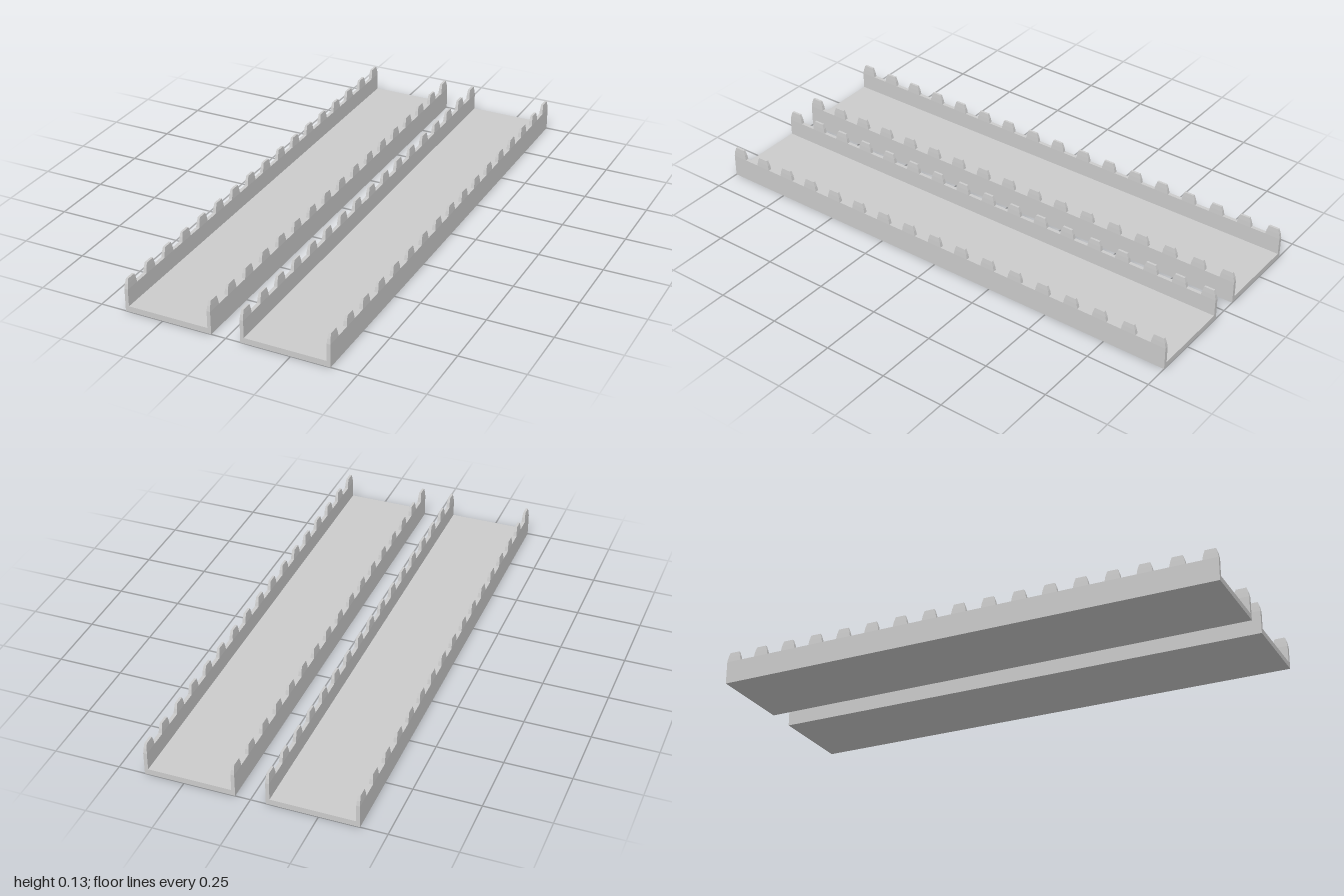
import * as THREE from 'three';
import { mergeGeometries } from 'three/addons/utils/BufferGeometryUtils.js';

const INNER = 0.057, OUTER = 0.4, WALL = 0.014;
const FLOOR = 0.022, WALL_TOP = 0.09, TOOTH_TOP = 0.128;
const LENGTH = 2, TEETH = 17, TOOTH_LENGTH = 0.06;

// One tapered tooth: narrows gently, then more sharply toward its top
function toothGeometry(x, z) {
  const height = TOOTH_TOP - WALL_TOP;
  const g = new THREE.BoxGeometry(WALL, height, TOOTH_LENGTH, 1, 2, 1);
  const p = g.attributes.position;
  for (let i = 0; i < p.count; i++) {
    const t = p.getY(i) / height + 0.5;
    const sx = t > 0.9 ? 0.64 : t > 0.4 ? 0.85 : 1;
    const sz = t > 0.9 ? 0.66 : t > 0.4 ? 0.88 : 1;
    p.setXYZ(i, p.getX(i) * sx, p.getY(i), p.getZ(i) * sz);
  }
  g.computeVertexNormals();
  return g.translate(x, (WALL_TOP + TOOTH_TOP) / 2, z);
}

// A row of evenly spaced teeth along one wall
function toothRow(x) {
  const first = -LENGTH / 2 + TOOTH_LENGTH / 2;
  const step = (LENGTH - TOOTH_LENGTH) / (TEETH - 1);
  const teeth = [];
  for (let i = 0; i < TEETH; i++) teeth.push(toothGeometry(x, first + i * step));
  return mergeGeometries(teeth);
}

// U-shaped section swept along the full length, centred on x = 0
function trayGeometry(half) {
  const s = new THREE.Shape([
    [-half, 0], [half, 0], [half, WALL_TOP], [half - WALL, WALL_TOP],
    [half - WALL, FLOOR], [-half + WALL, FLOOR], [-half + WALL, WALL_TOP], [-half, WALL_TOP],
  ].map(([x, y]) => new THREE.Vector2(x, y)));
  return new THREE.ExtrudeGeometry(s, { depth: LENGTH, bevelEnabled: false })
    .translate(0, 0, -LENGTH / 2);
}

export function createModel() {
  const model = new THREE.Group();
  model.name = 'channelPair';
  const material = new THREE.MeshStandardMaterial({ color: 0xcccccc, flatShading: true });
  const half = (OUTER - INNER) / 2;
  const tray = trayGeometry(half);
  const add = (parent, name, geometry) => {
    const mesh = new THREE.Mesh(geometry, material);
    mesh.name = name;
    parent.add(mesh);
  };

  // Two identical toothed channels side by side
  for (const [side, name] of [[1, 'leftChannel'], [-1, 'rightChannel']]) {
    const channel = new THREE.Group();
    channel.name = name;
    channel.position.x = side * (INNER + OUTER) / 2;
    add(channel, 'tray', tray);
    add(channel, 'outerTeeth', toothRow(side * (half - WALL / 2)));
    add(channel, 'innerTeeth', toothRow(-side * (half - WALL / 2)));
    model.add(channel);
  }
  return model;
}
